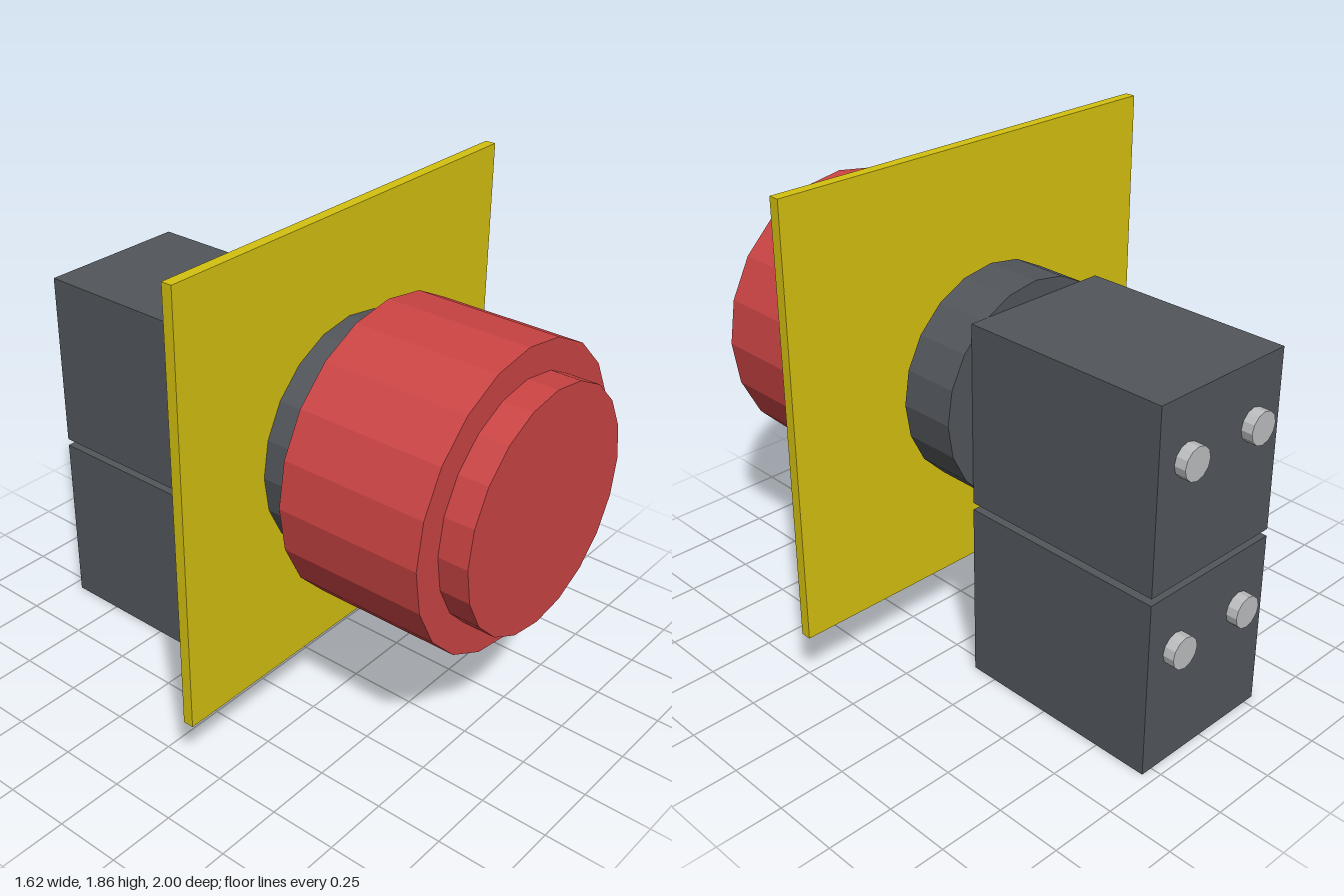
import * as THREE from 'three';

const flat = (name, color) => {
  const m = new THREE.MeshStandardMaterial({ color, flatShading: true });
  m.name = name;
  return m;
};

export function createModel() {
  const red = flat('red plastic', 0xcc4444);
  const yellow = flat('yellow plate', 0xd4c010);
  const dark = flat('dark grey housing', 0x52565b);
  const silver = flat('silver metal', 0xbcbebf);

  const model = new THREE.Group();
  model.name = 'pushButton';
  const axisY = 1.04;

  const add = (name, geometry, material, x, y, z) => {
    const mesh = new THREE.Mesh(geometry, material);
    mesh.name = name;
    mesh.position.set(x, y, z);
    model.add(mesh);
  };
  // Disc lying along z between two depths
  const disc = (name, r, z0, z1, material, x = 0, y = axisY, sides = 20) =>
    add(name, new THREE.CylinderGeometry(r, r, z1 - z0, sides).rotateX(Math.PI / 2),
      material, x, y, (z0 + z1) / 2);
  // Box centred on x, given by its height and depth limits
  const box = (name, w, y0, y1, z0, z1, material) =>
    add(name, new THREE.BoxGeometry(w, y1 - y0, z1 - z0), material, 0, (y0 + y1) / 2, (z0 + z1) / 2);

  // Button head in front of the plate
  disc('buttonCap', 0.432, 0.89, 1.0, red);
  disc('buttonHead', 0.54, 0.35, 0.89, red);
  disc('neck', 0.432, 0.19, 0.35, dark);

  // Square backing plate
  box('plate', 1.62, 0.235, 1.855, 0.15, 0.19, yellow);

  // Rear mounting collar
  disc('collar', 0.405, -0.148, 0.068, dark);

  // Two contact blocks, each with a pair of terminal screws
  for (const [name, y0, y1, screwY] of [['lower', 0, 0.675, 0.45], ['upper', 0.702, 1.378, 1.15]]) {
    box(name + 'ContactBlock', 0.59, y0, y1, -0.957, -0.148, dark);
    for (const side of [-1, 1])
      disc(name + (side > 0 ? 'LeftScrew' : 'RightScrew'), 0.06, -1.0, -0.957, silver,
        side * 0.162, screwY, 12);
  }
  return model;
}
